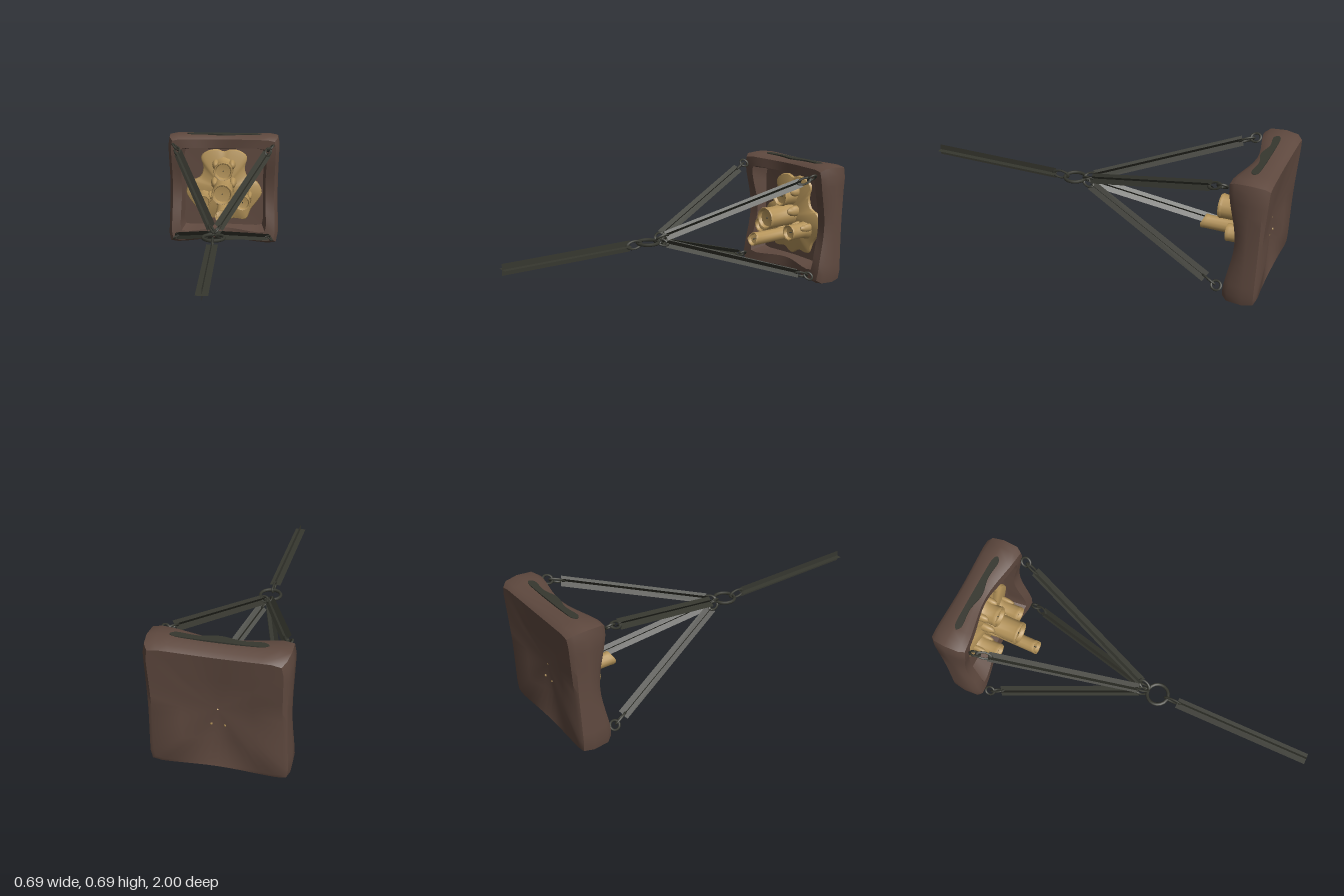
import * as THREE from 'three';
import { toCreasedNormals } from 'three/addons/utils/BufferGeometryUtils.js';

const CY = 0.344; // height of the tray centre

// Skin a stack of closed rings (arrays of [x, y, z]) running back to front
function loft(rings, crease) {
  const n = rings[0].length, index = [];
  for (let i = 0; i < rings.length - 1; i++) {
    for (let j = 0; j < n; j++) {
      const k = (j + 1) % n, a = i * n + j, b = i * n + k, c = b + n, d = a + n;
      index.push(a, b, c, a, c, d);
    }
  }
  const g = new THREE.BufferGeometry();
  g.setAttribute('position', new THREE.Float32BufferAttribute(rings.flat(2), 3));
  g.setIndex(index);
  return toCreasedNormals(g, crease);
}

// Uneven rounded square; "dip" moves the middle of each side backwards
function trayRing(half, z, dip = 0, wobble = 0, dent = 0, tilt = 0) {
  const pts = [], N = 12;
  for (let side = 0; side < 4; side++) { // right, top, left, bottom
    for (let i = 0; i < N; i++) {
      const s = -1 + 2 * i / N;
      const [u, v] = [[1, s], [-s, 1], [-1, -s], [s, -1]][side];
      const r = 1 / Math.pow(Math.abs(u) ** 24 + Math.abs(v) ** 24, 1 / 24);
      const mid = Math.cos(s * Math.PI / 2) ** 2;
      const k = half * r * (1 - wobble * mid * (side === 3 ? 2.2 : 1));
      pts.push([u * k, CY + v * k, z - dip * mid + dent * mid * (side === 3 ? 1 : 0.3) + tilt * (1 - v) / 2]);
    }
  }
  return pts;
}

export function createModel() {
  const model = new THREE.Group();
  const mat = (name, color, side = THREE.FrontSide) => {
    const m = new THREE.MeshStandardMaterial({ color, side });
    m.name = name;
    return m;
  };
  const wood = mat('brown wood', 0x5f493f);
  const wax = mat('yellow wax', 0xb5945a, THREE.DoubleSide);
  const iron = mat('dark iron', 0x36372f, THREE.DoubleSide);
  const add = (name, geo, material, parent = model) => {
    const m = new THREE.Mesh(geo, material);
    m.name = name;
    parent.add(m);
    return m;
  };

  // Tray: dented back, bulging sides, wavy rim, sunken floor
  add('tray', loft([
    trayRing(0.004, -0.95),
    trayRing(0.17, -0.985, 0, 0, 0.035, 0.01),
    trayRing(0.315, -1, 0, 0.02, 0.015, 0.025),
    trayRing(0.335, -0.975, 0, 0.02, 0, 0.01),
    trayRing(0.344, -0.91, 0, 0.02),
    trayRing(0.34, -0.83, 0.045, 0.02),
    trayRing(0.322, -0.803, 0.045, 0.02),
    trayRing(0.268, -0.81, 0.045, 0.03),
    trayRing(0.247, -0.91, 0, 0.01),
    trayRing(0.004, -0.915),
  ], 0.7), wood);

  // Iron inlays on the upper and lower sides of the tray
  const inlay = new THREE.Shape();
  inlay.moveTo(-0.23, 0);
  inlay.splineThru([[-0.2, 0.02], [-0.1, 0.012], [0, 0.03], [0.1, 0.012], [0.2, 0.02], [0.23, 0],
    [0.2, -0.017], [0.1, -0.02], [0, -0.02], [-0.1, -0.02], [-0.2, -0.017], [-0.23, 0]]
    .map(p => new THREE.Vector2(...p)));
  for (const [name, y] of [['topInlay', 0.688], ['bottomInlay', 0.014]]) {
    const g = new THREE.ExtrudeGeometry(inlay, { depth: 0.008, bevelEnabled: false, curveSegments: 24 });
    g.rotateX(Math.PI / 2);
    add(name, g, iron).position.set(0, y, -0.895);
  }

  // Wax puddle: mirrored outline, shrinking as it rises
  const half = [[0.06, 0.14], [0.14, 0.135], [0.17, 0.2], [0.215, 0.26], [0.24, 0.31], [0.21, 0.38],
    [0.15, 0.41], [0.13, 0.47], [0.145, 0.54], [0.1, 0.578], [0.04, 0.587]];
  const outline = [[0, 0.11], ...half, [0, 0.573], ...half.map(([x, y]) => [-x, y]).reverse()];
  const curve = new THREE.CatmullRomCurve3(outline.map(([x, y]) => new THREE.Vector3(x, y, 0)), true, 'centripetal');
  const smooth = curve.getPoints(72).slice(0, 72);
  const puddleRing = ([s, z]) => smooth.map(p => [p.x * s, 0.34 + (p.y - 0.34) * s, z]);
  add('waxPuddle', loft([[1, -0.915], [0.97, -0.898], [0.85, -0.89], [0.5, -0.875], [0.01, -0.865]].map(puddleRing), 0.8), wax);

  // Candles pointing forward with hollow tops and drips round the foot
  const candle = (name, x, y, r, front, slant = 0) => {
    const group = new THREE.Group();
    group.name = name;
    group.position.set(x, y, -0.9);
    model.add(group);
    const h = front + 0.9;
    const profile = [[r * 1.3, 0], [r * 1.08, 0.02], [r * 0.95, 0.045], [r * 0.95, h - 0.02], [r, h - 0.01],
      [r * 0.95, h], [r * 0.84, h - 0.002], [r * 0.74, h - 0.02], [0.0005, h - 0.026]];
    const g = new THREE.LatheGeometry(profile.map(p => new THREE.Vector2(...p)), 12);
    g.rotateX(Math.PI / 2);
    const p = g.attributes.position;
    for (let i = 0; i < p.count; i++) { // lean the upper lip back
      if (p.getZ(i) > h - 0.03) p.setZ(i, p.getZ(i) - slant * Math.max(0, p.getY(i) / r));
    }
    add('candleBody', toCreasedNormals(g, 0.8), wax, group);
    const wick = new THREE.CylinderGeometry(0.003, 0.003, 0.02, 6);
    wick.rotateX(Math.PI / 2);
    add('wick', wick, iron, group).position.z = h - 0.022;
    for (const s of [-1, 1]) {
      const drip = add('drip', new THREE.SphereGeometry(1, 10, 8), wax, group);
      drip.scale.set(r * 0.36, r * 0.5, Math.min(0.08, h * 0.5));
      drip.position.set(s * r * 0.85, r * 0.45, 0.02);
    }
  };
  candle('topCandle', 0, 0.468, 0.06, -0.79);
  candle('centerCandle', 0, 0.352, 0.066, -0.68);
  candle('leftCandle', 0.122, 0.28, 0.047, -0.755);
  candle('rightCandle', -0.122, 0.28, 0.047, -0.755);
  candle('longCandle', 0, 0.242, 0.039, -0.585, 0.02);

  // Oval link lying along z; upright links stand in the yz plane
  const link = (name, parent, w, l, z, upright, tube = 0.006) => {
    const g = new THREE.TorusGeometry(1, tube / w, 6, 18);
    g.rotateX(Math.PI / 2);
    g.scale(w, w, l);
    if (upright) g.rotateZ(Math.PI / 2);
    add(name, g, iron, parent).position.z = z;
  };
  // Chain bar: two crossed strips along local z
  const bar = (parent, length, w) => {
    for (const turn of [0, Math.PI / 2]) {
      const g = new THREE.PlaneGeometry(w, length);
      g.rotateX(-Math.PI / 2);
      g.rotateZ(turn);
      add('chainStrip', g, iron, parent).position.z = length / 2;
    }
  };

  // Four corner chains meeting at the big ring
  for (const sx of [-1, 1]) for (const sy of [-1, 1]) {
    const chain = new THREE.Group();
    chain.name = 'cornerChain';
    const start = new THREE.Vector3(sx * 0.268, CY + sy * 0.262, -0.7);
    const end = new THREE.Vector3(sx * 0.02, CY + sy * 0.02, 0.04);
    chain.position.copy(start);
    chain.up.set(sx, sy, 0).normalize();
    chain.lookAt(end);
    model.add(chain);
    const length = start.distanceTo(end);
    bar(chain, length, 0.058);
    link('chainLink', chain, 0.018, 0.035, -0.022, false);
    link('cornerRing', chain, 0.024, 0.026, -0.07, true);
    link('innerLink', chain, 0.02, 0.032, length + 0.022, true);
  }

  // Big ring, joining link and the long pull chain
  const hub = new THREE.Group();
  hub.name = 'hub';
  hub.position.y = 0.34;
  model.add(hub);
  link('bigRing', hub, 0.057, 0.057, 0.145, false, 0.009);
  link('joiningLink', hub, 0.021, 0.042, 0.233, true);
  const pull = new THREE.Group();
  pull.name = 'pullChain';
  pull.position.z = 0.26;
  hub.add(pull);
  bar(pull, 0.74, 0.06);

  return model;
}
